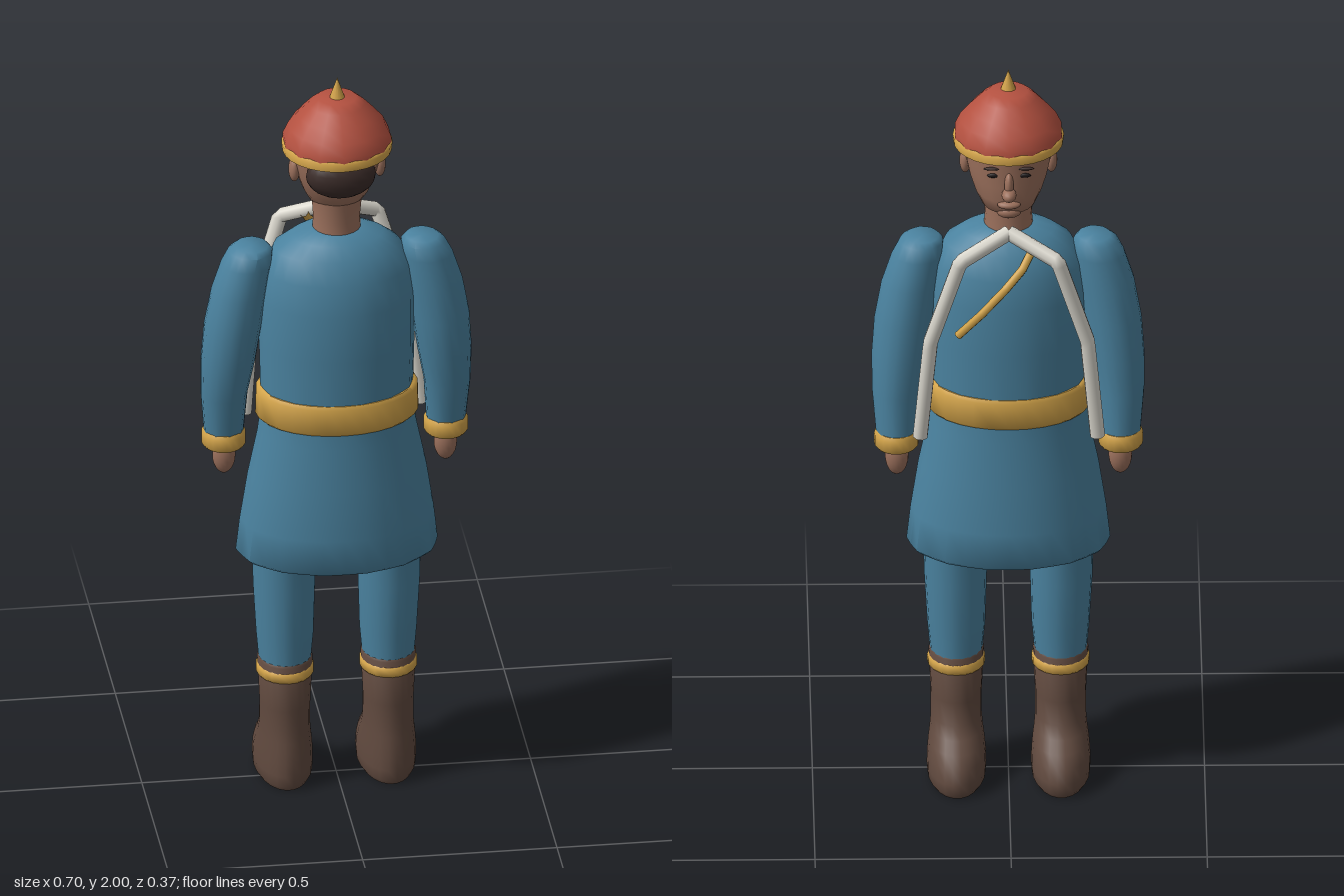
import * as THREE from 'three';
import { toCreasedNormals } from 'three/addons/utils/BufferGeometryUtils.js';

const mat = (name, color, side = THREE.FrontSide) => {
  const m = new THREE.MeshStandardMaterial({ color, side });
  m.name = name;
  return m;
};

// Closed solid through elliptical rings [y, centreX, centreZ, radiusX, radiusZ], bottom to top
function loft(rings, sides = 20, pleat = 0) {
  const pos = [], idx = [];
  for (const [y, cx, cz, rx, rz] of rings) {
    for (let j = 0; j < sides; j++) {
      const a = (j / sides) * Math.PI * 2;
      const k = 1 - pleat * (j % 2);
      pos.push(cx + rx * k * Math.cos(a), y, cz + rz * k * Math.sin(a));
    }
  }
  const last = rings.length - 1;
  for (let i = 0; i < last; i++) {
    for (let j = 0; j < sides; j++) {
      const n = (j + 1) % sides, a = i * sides, b = a + sides;
      idx.push(a + j, b + j, b + n, a + j, b + n, a + n);
    }
  }
  const bottom = pos.length / 3, top = bottom + 1;
  for (const r of [rings[0], rings[last]]) pos.push(r[1], r[0], r[2]);
  for (let j = 0; j < sides; j++) {
    const n = (j + 1) % sides;
    idx.push(bottom, j, n, top, last * sides + n, last * sides + j);
  }
  const g = new THREE.BufferGeometry();
  g.setAttribute('position', new THREE.Float32BufferAttribute(pos, 3));
  g.setIndex(idx);
  return toCreasedNormals(g, 0.9);
}

// Angular strap made of straight tube runs
function strap(points, radius, sides) {
  const path = new THREE.CurvePath();
  const v = points.map((p) => new THREE.Vector3(...p));
  for (let i = 0; i + 1 < v.length; i++) path.add(new THREE.LineCurve3(v[i], v[i + 1]));
  return new THREE.TubeGeometry(path, 40, radius, sides);
}

export function createModel() {
  const root = new THREE.Group();
  root.name = 'uniformedFigure';
  const blue = mat('blueCloth', 0x4a829f);
  const gold = mat('goldTrim', 0xd2a349);
  const red = mat('redHat', 0xb45140);
  const brown = mat('brownLeather', 0x614a3f);
  const skin = mat('skin', 0x9b705c);
  const hair = mat('darkHair', 0x3b2c29);
  const white = mat('whiteStrap', 0xdcd9cf, THREE.DoubleSide);
  const dark = mat('eyeBlack', 0x1c1718);

  const add = (name, geometry, material) => {
    const m = new THREE.Mesh(geometry, material);
    m.name = name;
    root.add(m);
    return m;
  };
  const blob = (name, material, p, r) => {
    const m = add(name, new THREE.SphereGeometry(1, 18, 12), material);
    m.position.set(...p);
    m.scale.set(...r);
    return m;
  };

  // Coat
  add('coatSkirt', loft([
    [0.65, 0, 0.008, 0.25, 0.168], [0.66, 0, 0.008, 0.26, 0.178], [0.75, 0, 0.01, 0.25, 0.174],
    [0.88, 0, 0.012, 0.23, 0.164], [1.0, 0, 0.012, 0.205, 0.15], [1.06, 0, 0.012, 0.197, 0.146],
  ], 28, 0.015), blue);
  add('coatBody', loft([
    [1.1, 0, 0.012, 0.196, 0.148], [1.25, 0, 0.012, 0.2, 0.152], [1.38, 0, 0.012, 0.2, 0.15],
    [1.46, 0, 0.01, 0.19, 0.138], [1.52, 0, 0.01, 0.165, 0.115], [1.552, 0, 0.01, 0.12, 0.088],
    [1.572, 0, 0.008, 0.066, 0.066],
  ], 28, 0.015), blue);
  add('belt', loft([
    [1.042, 0, 0.012, 0.202, 0.148], [1.05, 0, 0.012, 0.21, 0.155],
    [1.118, 0, 0.012, 0.208, 0.155], [1.127, 0, 0.012, 0.2, 0.15],
  ], 28), gold);

  // Head and face, looking toward -z
  add('neck', loft([
    [1.55, 0, 0.006, 0.064, 0.066], [1.6, 0, 0.006, 0.06, 0.063], [1.7, 0, 0.015, 0.068, 0.07],
  ]), skin);
  add('head', loft([
    [1.63, 0, -0.02, 0.045, 0.052], [1.645, 0, -0.016, 0.068, 0.08], [1.68, 0, -0.005, 0.086, 0.1],
    [1.72, 0, 0.003, 0.1, 0.108], [1.76, 0, 0.007, 0.109, 0.114], [1.82, 0, 0.012, 0.114, 0.12],
  ], 24), skin);
  blob('noseTip', skin, [0, 1.71, -0.118], [0.019, 0.017, 0.026]);
  blob('noseBridge', skin, [0, 1.732, -0.106], [0.012, 0.035, 0.02]);
  blob('lips', skin, [0, 1.674, -0.1], [0.03, 0.011, 0.018]);
  blob('chin', skin, [0, 1.645, -0.08], [0.032, 0.018, 0.022]);
  blob('backHair', hair, [0, 1.757, 0.09], [0.09, 0.062, 0.055]);

  // Hat with dome, rim and spike
  const dome = [[0.14, 1.815], [0.139, 1.835], [0.125, 1.865], [0.1, 1.895], [0.072, 1.925], [0.05, 1.943], [0, 1.947]]
    .map((p) => new THREE.Vector2(...p));
  add('hatDome', new THREE.LatheGeometry(dome, 14), red).position.z = 0.015;
  add('hatRim', loft([
    [1.792, 0, 0.015, 0.128, 0.128], [1.797, 0, 0.015, 0.14, 0.14],
    [1.817, 0, 0.015, 0.142, 0.142], [1.824, 0, 0.015, 0.136, 0.136],
  ], 28), gold);
  add('hatSpike', new THREE.ConeGeometry(0.021, 0.06, 14), gold).position.set(0, 1.97, 0.02);

  for (const s of [-1, 1]) {
    const side = s < 0 ? 'right' : 'left';
    const named = (part) => side + part;

    // Face details
    blob(named('Eye'), dark, [s * 0.04, 1.757, -0.099], [0.016, 0.006, 0.005]);
    blob(named('Eyebrow'), hair, [s * 0.042, 1.777, -0.1], [0.023, 0.004, 0.006]);
    blob(named('Ear'), skin, [s * 0.11, 1.743, 0.015], [0.015, 0.034, 0.022]);

    // Arm
    add(named('Sleeve'), loft([
      [0.985, s * 0.286, -0.028, 0.052, 0.054], [1.1, s * 0.287, -0.014, 0.061, 0.068],
      [1.2, s * 0.278, -0.002, 0.071, 0.078], [1.3, s * 0.267, 0.004, 0.075, 0.079],
      [1.4, s * 0.251, 0.008, 0.073, 0.075], [1.48, s * 0.232, 0.009, 0.066, 0.068],
      [1.517, s * 0.222, 0.01, 0.057, 0.062], [1.53, s * 0.219, 0.01, 0.043, 0.048],
    ], 18, 0.03), blue);
    add(named('Cuff'), loft([
      [0.945, s * 0.286, -0.028, 0.051, 0.054], [0.953, s * 0.286, -0.028, 0.057, 0.061],
      [0.982, s * 0.286, -0.028, 0.057, 0.061], [0.992, s * 0.286, -0.028, 0.051, 0.055],
    ]), gold);
    blob(named('Hand'), skin, [s * 0.285, 0.915, -0.028], [0.03, 0.052, 0.026]);

    // Leg and boot
    const x = s * 0.133;
    add(named('Trouser'), loft([
      [0.33, x, 0.006, 0.066, 0.076], [0.42, x, 0.006, 0.074, 0.083],
      [0.56, x + s * 0.002, 0.006, 0.08, 0.088], [0.7, x + s * 0.002, 0.006, 0.083, 0.09],
    ], 18), blue);
    add(named('Boot'), loft([
      [0, x, -0.04, 0.066, 0.134], [0.012, x, -0.041, 0.074, 0.142], [0.04, x, -0.041, 0.076, 0.143],
      [0.075, x, -0.036, 0.075, 0.136], [0.105, x, -0.024, 0.072, 0.12], [0.13, x, -0.008, 0.068, 0.1],
      [0.16, x, 0.002, 0.065, 0.085], [0.22, x, 0.007, 0.065, 0.079],
      [0.345, x, 0.007, 0.071, 0.08], [0.352, x, 0.007, 0.066, 0.075],
    ], 22), brown);
    add(named('BootBand'), loft([
      [0.3, x, 0.007, 0.069, 0.078], [0.306, x, 0.007, 0.074, 0.084],
      [0.324, x, 0.007, 0.074, 0.084], [0.33, x, 0.007, 0.07, 0.079],
    ]), gold);

    // White strap bending over the chest and hanging beside the coat
    add(named('ChestStrap'), strap([
      [0, 1.585, -0.085], [s * 0.125, 1.53, -0.143], [s * 0.2, 1.29, -0.118], [s * 0.226, 1.0, -0.085],
    ], 0.02, 8), white);
  }

  // Gold cord crossing the chest
  add('chestCord', strap([
    [-0.07, 1.56, -0.09], [-0.035, 1.5, -0.125], [0.01, 1.45, -0.144], [0.07, 1.38, -0.143], [0.13, 1.31, -0.125],
  ], 0.011, 8), gold);

  return root;
}
